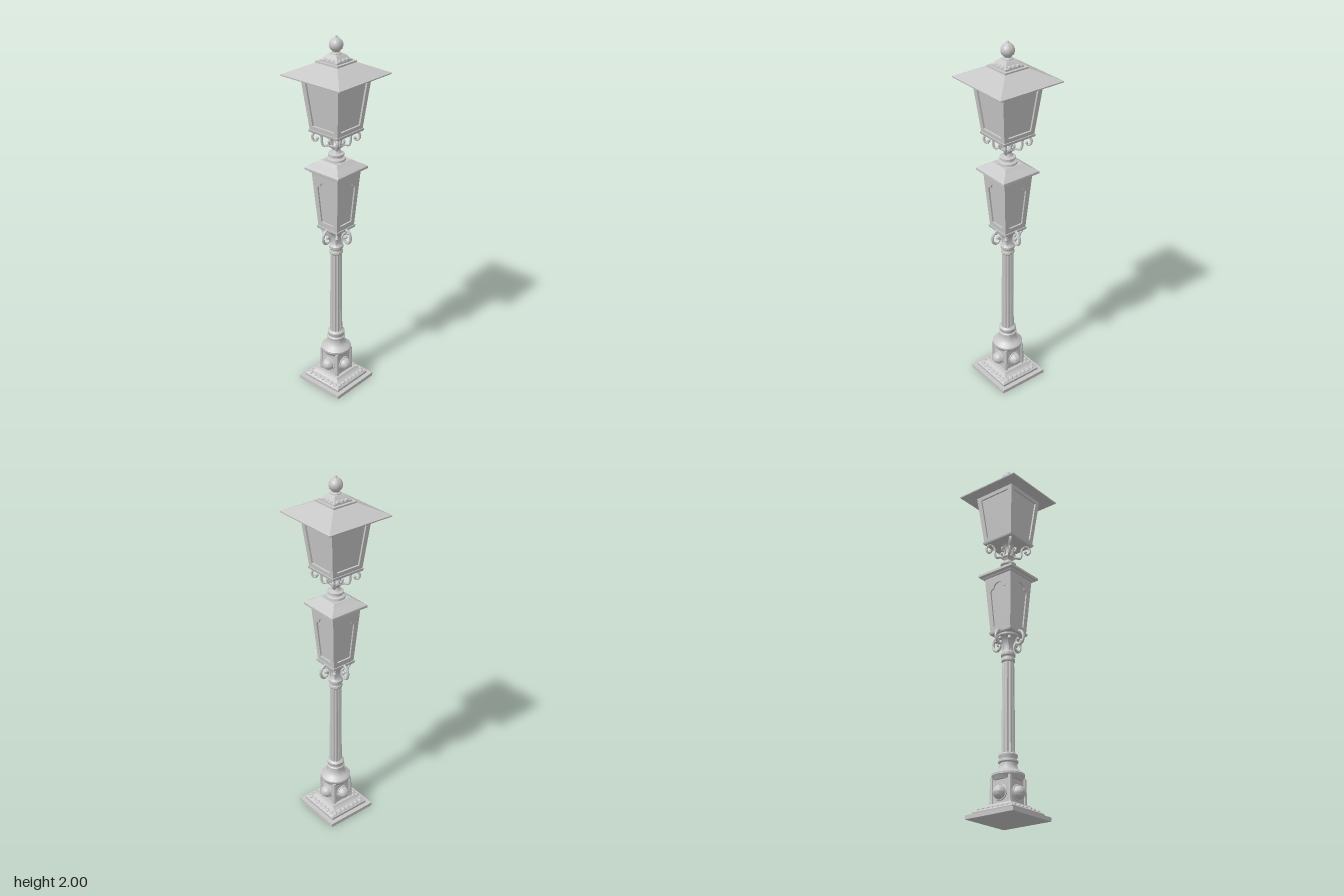
import * as THREE from 'three';
import { toCreasedNormals } from 'three/addons/utils/BufferGeometryUtils.js';

const metal = new THREE.MeshStandardMaterial({ color: 0xc6c6c6 });
metal.name = 'pale grey metal';

const V = (pts) => pts.map(([x, y]) => new THREE.Vector2(x, y));

export function createModel() {
  const model = new THREE.Group();
  model.name = 'streetLamp';

  const add = (name, geo, parent = model, crease = 0.6) => {
    const mesh = new THREE.Mesh(toCreasedNormals(geo, crease), metal);
    mesh.name = name;
    parent.add(mesh);
    return mesh;
  };
  // round turned part: [radius, y] from bottom to top
  const turned = (name, pts) => add(name, new THREE.LatheGeometry(V(pts), 32));
  // square stepped part: [half width, y] from bottom to top
  const square = (name, pts) =>
    add(name, new THREE.LatheGeometry(V(pts.map(([h, y]) => [h * Math.SQRT2, y])), 4, Math.PI / 4));
  // four copies about the vertical axis
  const around = (name, build, offset = 0) => {
    for (let i = 0; i < 4; i++) {
      const g = new THREE.Group();
      g.name = name;
      g.rotation.y = offset + (i * Math.PI) / 2;
      build(g);
      model.add(g);
    }
  };
  // curled bar in the radial plane: [distance, y]
  const scroll = (name, pts, r, parent) => {
    const path = new THREE.CatmullRomCurve3(pts.map(([x, y]) => new THREE.Vector3(x, y, 0)));
    add(name, new THREE.TubeGeometry(path, 36, r, 8), parent);
    const tip = new THREE.SphereGeometry(r * 1.35, 10, 8);
    tip.translate(...pts[pts.length - 1], 0);
    add(name + 'Tip', tip, parent);
  };

  // --- base ---
  square('basePlate', [[0, 0], [0.147, 0], [0.147, 0.02], [0, 0.02]]);
  square('baseMoulding', [[0.122, 0.02], [0.124, 0.034], [0.115, 0.044], [0.098, 0.05],
    [0.085, 0.058], [0.078, 0.07], [0, 0.07]]);
  square('pedestal', [[0.061, 0.065], [0.057, 0.2], [0, 0.2]]);
  around('pedestalSide', (g) => {
    const boss = new THREE.SphereGeometry(0.035, 24, 16);
    boss.scale(1, 1, 1.1);
    boss.translate(0, 0.125, 0.062);
    add('boss', boss, g);
    const ring = new THREE.TorusGeometry(0.037, 0.005, 8, 28);
    ring.translate(0, 0.125, 0.06);
    add('bossRing', ring, g);
    const post = new THREE.CylinderGeometry(0.009, 0.013, 0.14, 8);
    post.translate(0.056, 0.135, 0.056);
    add('cornerPost', post, g);
  });
  // leaf beads along the base moulding
  around('mouldingLeaves', (g) => {
    for (let i = -3; i <= 3; i++) {
      const leaf = new THREE.SphereGeometry(0.011, 10, 8);
      leaf.scale(1, 0.7, 1.3);
      leaf.translate(i * 0.03, 0.045, 0.105);
      add('leaf', leaf, g);
    }
  });
  turned('pedestalCap', [[0, 0.19], [0.07, 0.19], [0.078, 0.205], [0.083, 0.212], [0.083, 0.222],
    [0.074, 0.231], [0.06, 0.238], [0.05, 0.25], [0.044, 0.27], [0.044, 0.278], [0.05, 0.284],
    [0.05, 0.292], [0.044, 0.297], [0.044, 0.306], [0.047, 0.312], [0.047, 0.322], [0.037, 0.33], [0, 0.33]]);

  // --- fluted shaft ---
  const shaft = new THREE.CylinderGeometry(0.031, 0.035, 0.51, 96, 1, true);
  const p = shaft.attributes.position;
  for (let i = 0; i < p.count; i++) {
    const a = Math.atan2(p.getZ(i), p.getX(i));
    const k = 1 - 0.16 * Math.pow(Math.abs(Math.sin(a * 6)), 1.5);
    p.setXYZ(i, p.getX(i) * k, p.getY(i), p.getZ(i) * k);
  }
  shaft.translate(0, 0.575, 0);
  add('flutedShaft', shaft, model, 0.9);
  turned('shaftCollar', [[0.03, 0.815], [0.036, 0.822], [0.036, 0.832], [0.032, 0.838], [0.032, 0.846],
    [0.038, 0.853], [0.038, 0.866], [0.03, 0.874], [0.025, 0.89], [0.026, 0.915], [0.032, 0.935],
    [0.044, 0.95], [0.056, 0.96], [0.056, 0.978], [0, 0.978]]);

  // --- lower scrolls, one on each side ---
  around('lowerBracket', (g) => scroll('lowerScroll', [[0.035, 0.962], [0.056, 0.978], [0.083, 0.974],
    [0.099, 0.95], [0.096, 0.918], [0.076, 0.903], [0.058, 0.912], [0.056, 0.928], [0.066, 0.934]], 0.0075, g));
  // slim leaves hugging the neck at the corners
  around('neckLeaf', (g) => scroll('leafBar', [[0.026, 0.88], [0.03, 0.91], [0.045, 0.935], [0.058, 0.945],
    [0.062, 0.932]], 0.007, g), Math.PI / 4);

  // --- lantern bodies: tapered core with four framed sides ---
  const lantern = (name, y0, y1, b, t, d, makeHole) => {
    const tilt = Math.atan((t - b) / (y1 - y0));
    const len = Math.hypot(t - b, y1 - y0);
    square(name + 'Panes', [[0, y0], [b - d, y0], [t - d, y1], [0, y1]]);
    around(name + 'Side', (g) => {
      const shape = new THREE.Shape(V([[-b, 0], [b, 0], [t, len], [-t, len]]));
      shape.holes.push(makeHole(len));
      const geo = new THREE.ExtrudeGeometry(shape, { depth: d, bevelEnabled: false, curveSegments: 8 });
      geo.translate(0, 0, -d);
      geo.rotateX(tilt);
      geo.translate(0, y0, b);
      add(name + 'Frame', geo, g);
    });
  };

  // lower lantern with ogee-topped openings
  square('lowerLanternFloor', [[0, 0.97], [0.068, 0.97], [0.071, 0.976], [0.071, 0.985], [0, 0.985]]);
  lantern('lowerLantern', 0.982, 1.3, 0.066, 0.089, 0.009, () => {
    const h = new THREE.Path();
    h.moveTo(-0.042, 0.03);
    h.lineTo(-0.054, 0.225);
    h.quadraticCurveTo(-0.052, 0.243, -0.034, 0.243);
    h.quadraticCurveTo(-0.028, 0.272, 0, 0.274);
    h.quadraticCurveTo(0.028, 0.272, 0.034, 0.243);
    h.quadraticCurveTo(0.052, 0.243, 0.054, 0.225);
    h.lineTo(0.042, 0.03);
    h.closePath();
    return h;
  });
  square('lowerRoof', [[0, 1.293], [0.096, 1.293], [0.102, 1.302], [0.114, 1.306], [0.114, 1.318],
    [0.104, 1.326], [0.082, 1.338], [0.066, 1.35], [0.056, 1.358], [0, 1.358]]);

  // --- stem between the lanterns ---
  turned('stem', [[0.05, 1.355], [0.048, 1.368], [0.034, 1.374], [0.033, 1.38], [0.042, 1.385],
    [0.042, 1.394], [0.027, 1.4], [0.02, 1.415], [0.024, 1.428], [0.032, 1.436], [0.03, 1.446],
    [0.018, 1.458], [0.015, 1.48], [0.022, 1.502], [0.035, 1.515], [0, 1.515]]);
  // large scrolls reach out to the lantern corners
  around('upperBracket', (g) => {
    scroll('upperScroll', [[0.02, 1.425], [0.04, 1.437], [0.064, 1.435], [0.072, 1.455], [0.074, 1.485],
      [0.088, 1.506], [0.108, 1.506], [0.119, 1.487], [0.113, 1.467], [0.1, 1.463], [0.094, 1.475]], 0.0065, g);
  }, Math.PI / 4);
  around('upperLeaf', (g) => scroll('leafBar', [[0.016, 1.435], [0.028, 1.452], [0.032, 1.472], [0.045, 1.482],
    [0.054, 1.47], [0.047, 1.46]], 0.006, g));

  // --- upper lantern ---
  square('upperLanternFloor', [[0, 1.511], [0.095, 1.511], [0.098, 1.516], [0.098, 1.525], [0, 1.525]]);
  lantern('upperLantern', 1.522, 1.807, 0.093, 0.124, 0.01, (len) =>
    new THREE.Path(V([[-0.071, 0.024], [-0.095, len - 0.025], [0.095, len - 0.025], [0.071, 0.024]])));
  square('upperRoof', [[0, 1.803], [0.19, 1.803], [0.191, 1.809], [0.071, 1.866], [0.071, 1.874], [0, 1.874]]);
  square('roofCap', [[0.056, 1.873], [0.055, 1.882], [0.046, 1.888], [0.036, 1.902], [0.026, 1.91], [0, 1.91]]);
  // ornamental ribs on the cap
  around('capRibs', (g) => {
    for (let i = -1; i <= 1; i++) {
      const rib = new THREE.SphereGeometry(0.011, 10, 8);
      rib.scale(1, 0.7, 1);
      rib.translate(i * 0.026, 1.885, 0.045);
      add('rib', rib, g);
    }
  });

  // --- finial ---
  turned('finial', [[0.028, 1.905], [0.026, 1.914], [0.018, 1.919], [0.02, 1.925], [0.03, 1.934],
    [0.0345, 1.947], [0.0345, 1.959], [0.029, 1.972], [0.018, 1.983], [0.008, 1.989], [0.006, 1.996], [0, 2]]);

  return model;
}
